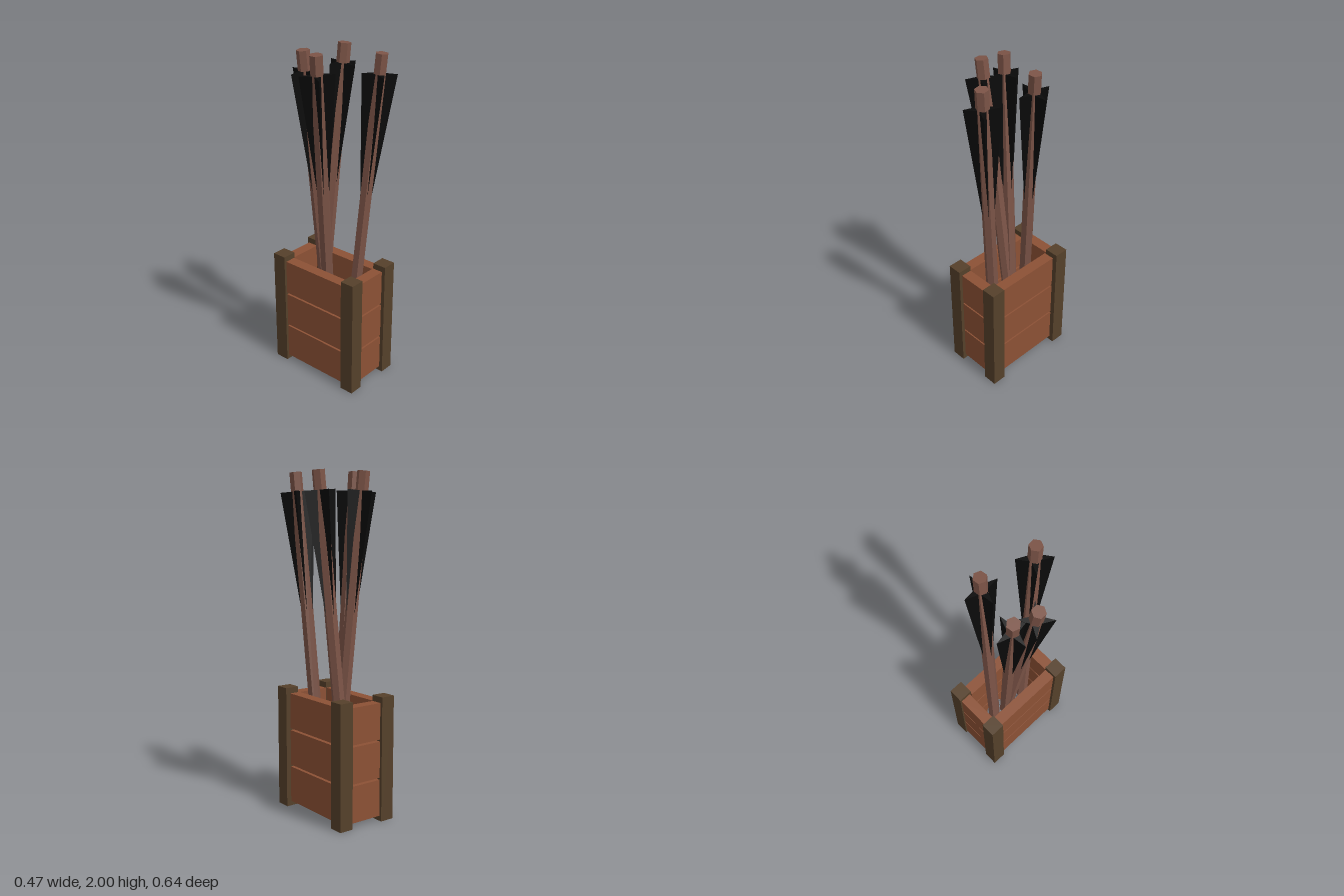
import * as THREE from 'three';

const mat = (name, color) => {
  const m = new THREE.MeshStandardMaterial({ color, flatShading: true });
  m.name = name;
  return m;
};

export function createModel() {
  const darkWood = mat('dark wood', 0x55402a);
  const plankWood = mat('plank wood', 0x8c5135);
  const shaftWood = mat('shaft wood', 0x7c5447);
  const black = mat('black feather', 0x0a0a0a);
  const steel = mat('steel', 0x6b6e75);

  const model = new THREE.Group();
  model.name = 'arrowCrate';

  const add = (parent, name, geometry, material) => {
    const mesh = new THREE.Mesh(geometry, material);
    mesh.name = name;
    parent.add(mesh);
    return mesh;
  };
  // Box given by its minimum and maximum corners
  const box = (name, material, x0, x1, y0, y1, z0, z1) =>
    add(model, name, new THREE.BoxGeometry(x1 - x0, y1 - y0, z1 - z0), material)
      .position.set((x0 + x1) / 2, (y0 + y1) / 2, (z0 + z1) / 2);

  // Corner posts
  const posts = [[-0.147, -0.28], [0.146, -0.273], [-0.147, 0.252], [0.146, 0.2535]];
  for (const [x, z] of posts) {
    box('cornerPost', darkWood, x - 0.0435, x + 0.0435, 0, 0.735, z - 0.0435, z + 0.0435);
  }

  // Three rows of planks on four sides, no floor
  for (const [y0, y1] of [[0.03, 0.247], [0.259, 0.474], [0.486, 0.7]]) {
    box('backPlank', plankWood, -0.104, 0.103, y0, y1, -0.307, -0.24);
    box('frontPlank', plankWood, -0.104, 0.103, y0, y1, 0.208, 0.275);
    box('rightPlank', plankWood, -0.175, -0.108, y0, y1, -0.237, 0.209);
    box('leftPlank', plankWood, 0.093, 0.16, y0, y1, -0.23, 0.21);
  }

  // Four tapering vanes in one star-shaped solid
  const vanes = new THREE.CylinderGeometry(0.098, 0.03, 0.74, 8, 1);
  const p = vanes.attributes.position;
  for (let i = 0; i < p.count; i++) {
    const step = Math.round(Math.atan2(p.getX(i), p.getZ(i)) / (Math.PI / 4));
    if (step % 2 !== 0) p.setXYZ(i, p.getX(i) * 0.286, p.getY(i), p.getZ(i) * 0.286);
  }
  vanes.computeVertexNormals();

  // Square pointed head with a stepped collar
  const head = new THREE.LatheGeometry(
    [[0, 0.018], [0.078, 0.17], [0.078, 0.19], [0.068, 0.19], [0.064, 0.18],
      [0.058, 0.18], [0.056, 0.205], [0.03, 0.205]].map(([x, y]) => new THREE.Vector2(x, y)), 4);

  // Arrows: foot x, z; top x, z; direction of one vane x, z
  const arrows = [
    [0.0185, -0.033, -0.137, -0.106, 0.008, -0.098],
    [0.02, -0.045, -0.174, 0.021, -0.063, 0.07],
    [-0.008, -0.139, 0.143, -0.055, -0.012, 0.098],
    [-0.005, 0.1, 0.08, 0.253, -0.06, 0.075],
  ];
  for (const [x0, z0, x1, z1, vx, vz] of arrows) {
    const arrow = new THREE.Group();
    arrow.name = 'arrow';
    const axis = new THREE.Vector3(x1 - x0, 1.997, z1 - z0);
    const length = axis.length();
    arrow.position.set(x0, 0, z0);
    arrow.quaternion.setFromUnitVectors(new THREE.Vector3(0, 1, 0), axis.normalize());
    arrow.rotateY(Math.atan2(vx, vz));

    const shaft = add(arrow, 'shaft',
      new THREE.CylinderGeometry(0.037, 0.037, length - 0.17, 6), shaftWood);
    shaft.position.y = (length + 0.17) / 2;
    shaft.rotation.y = Math.PI / 4;
    add(arrow, 'feathers', vanes, black).position.y = length - 0.11 - 0.37;
    add(arrow, 'arrowHead', head, steel);
    model.add(arrow);
  }
  return model;
}
